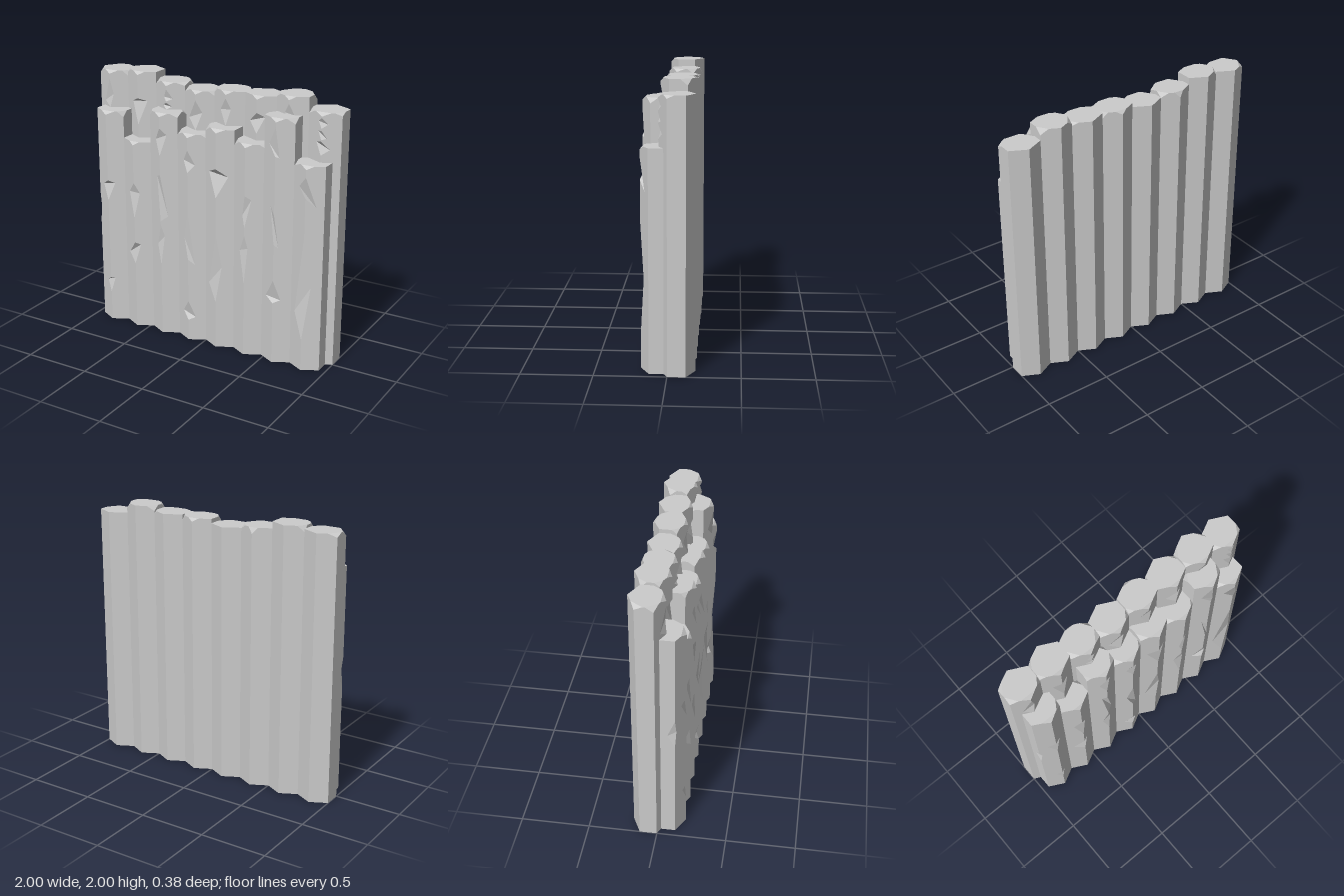
import * as THREE from 'three';

// Each column: [height, ...notches in its front edge from bottom to top]
// Notch: [bottom y, left reach, left y, right reach, right y, top y]
const FRONT = [
  [1.70, [0.235, 0.04, 0.33, 0.03, 0.35, 0.358], [1.0, 0.055, 1.12, 0.05, 1.14, 1.16]],
  [1.50, [0.53, 0.075, 0.60, 0.04, 0.685, 0.70], [0.90, 0.055, 1.10, 0.04, 1.10, 1.18]],
  [1.75, [0.57, 0.04, 0.73, 0.026, 0.80, 0.89], [0.92, 0.035, 1.27, 0.05, 0.96, 1.28],
    [1.43, 0.045, 1.55, 0.047, 1.59, 1.64]],
  [1.63, [0.165, 0.06, 0.225, 0.05, 0.19, 0.32], [0.66, 0.042, 0.82, 0.045, 0.62, 1.03],
    [1.34, 0.045, 1.43, 0.05, 1.40, 1.51]],
  [1.70, [0.37, 0.08, 0.50, 0.04, 0.65, 0.91], [1.19, 0.077, 1.375, 0.08, 1.35, 1.41]],
  [1.63, [0.57, 0.05, 0.82, 0.022, 0.85, 0.95], [1.01, 0.022, 1.10, 0.043, 1.22, 1.25]],
  [1.85, [0.475, 0.075, 0.51, 0.05, 0.50, 0.65], [0.93, 0.04, 1.21, 0.03, 0.90, 1.15],
    [1.58, 0.065, 1.66, 0.026, 1.57, 1.79]],
  [1.55, [0.24, 0.08, 0.44, 0.05, 0.65, 1.04], [1.32, 0.065, 1.39, 0.07, 1.25, 1.47]],
];
const BACK = [
  [1.98, [1.70, 0.065, 1.74, 0.025, 1.80, 1.92]],
  [2.00, [1.60, 0.06, 1.77, 0.065, 1.78, 1.80]],
  [1.95, [1.75, 0.035, 1.78, 0.04, 1.77, 1.80], [1.81, 0.025, 1.84, 0.045, 1.83, 1.90]],
  [1.92, [1.63, 0.075, 1.71, 0.045, 1.76, 1.85]],
  [1.95, [1.70, 0.055, 1.81, 0.035, 1.82, 1.90]],
  [1.95, [1.68, 0.07, 1.76, 0.055, 1.80, 1.83]],
  [1.98, [1.78, 0.04, 1.86, 0.035, 1.85, 1.93]],
  [1.90, [1.60, 0.045, 1.69, 0.055, 1.64, 1.70], [1.71, 0.03, 1.77, 0.035, 1.72, 1.775],
    [1.79, 0.03, 1.84, 0.04, 1.82, 1.865]],
];

// Hexagon corners, starting at the front and turning towards +x
const HEX = [[0, 1], [1, 0.5], [1, -0.5], [0, -1], [-1, -0.5], [-1, 0.5]];

let seed = 7;
function random() {
  seed = (seed * 16807) % 2147483647;
  return seed / 2147483647;
}

// Hexagonal column with chipped top corners and notched upright edges
function columnGeometry(rx, rz, h, notches) {
  const position = [];
  const tri = (...points) => points.forEach((p) => position.push(...p));

  // Point on side face k: t runs from corner k to corner k + 1
  const at = (k, t, y) => {
    const a = HEX[(k + 6) % 6], b = HEX[(k + 7) % 6];
    return [rx * (a[0] + (b[0] - a[0]) * t), y, rz * (a[1] + (b[1] - a[1]) * t)];
  };

  // Chips: always on the front corner, more rarely towards the back
  const chance = [1, 0.75, 0.45, 0.3, 0.45, 0.75];
  const chips = chance.map((c) => {
    const size = 0.25 + 0.25 * random(), depth = 0.02 + 0.025 * random();
    return random() < c ? { size, depth } : null;
  });
  chips[0] = { size: 0.35 + 0.15 * random(), depth: 0.025 };

  const top = [];
  for (let k = 0; k < 6; k++) {
    const n = (k + 1) % 6;

    // Side face outline, counter-clockwise from outside
    const outline = [[0, 0], [1, 0]];
    for (const [b, l, ly, , , t] of notches[n] || []) outline.push([1, b], [1 - l / rx, ly], [1, t]);
    if (chips[n]) outline.push([1, h - chips[n].depth], [1 - chips[n].size, h]);
    else outline.push([1, h]);
    if (chips[k]) outline.push([chips[k].size, h], [0, h - chips[k].depth]);
    else outline.push([0, h]);
    for (const [b, , , r, ry, t] of [...(notches[k] || [])].reverse()) outline.push([0, t], [r / rx, ry], [0, b]);
    const flat = outline.map(([t, y]) => new THREE.Vector2(t, y));
    for (const [a, b, c] of THREE.ShapeUtils.triangulateShape(flat, [])) {
      const ccw = THREE.ShapeUtils.area([flat[a], flat[b], flat[c]]) > 0;
      tri(...(ccw ? [a, b, c] : [a, c, b]).map((i) => at(k, ...outline[i])));
    }

    // Notch: two slanted facets meeting between the left and right points
    for (const [b, l, ly, r, ry, t] of notches[k] || []) {
      const left = at(k - 1, 1 - l / rx, ly), right = at(k, r / rx, ry);
      tri(at(k, 0, t), left, right);
      tri(at(k, 0, b), right, left);
    }

    // Chip facet
    if (chips[k]) {
      const before = at(k - 1, 1 - chips[k].size, h), after = at(k, chips[k].size, h);
      tri(at(k, 0, h - chips[k].depth), after, before);
      top.push(before, after);
    } else top.push(at(k, 0, h));

    // Underside
    tri([0, 0, 0], at(k, 1, 0), at(k, 0, 0));
  }
  top.forEach((p, i) => tri([0, h, 0], p, top[(i + 1) % top.length]));

  const geometry = new THREE.BufferGeometry();
  geometry.setAttribute('position', new THREE.Float32BufferAttribute(position, 3));
  geometry.computeVertexNormals();
  return geometry;
}

export function createModel() {
  const model = new THREE.Group();
  model.name = 'columnWall';
  const material = new THREE.MeshStandardMaterial({ color: 0xcccccc, flatShading: true });

  const addRow = (name, columns, rx, rz, z) => {
    const row = new THREE.Group();
    row.name = name;
    columns.forEach(([height, ...front], i) => {
      const notches = { 0: front };
      // Extra notch on the outer corner of the end column
      if (name === 'frontRow' && i === 0) notches[5] = [[0.80, 0.05, 0.9, 0.015, 0.93, 1.03]];
      const column = new THREE.Mesh(columnGeometry(rx, rz, height, notches), material);
      column.name = `${name}Column${i + 1}`;
      column.position.set((i - 3.5) * 2 * rx, 0, z);
      row.add(column);
    });
    model.add(row);
  };

  addRow('backRow', BACK, 0.125, 0.125, -0.0635);
  addRow('frontRow', FRONT, 0.11875, 0.125, 0.0635);
  return model;
}
